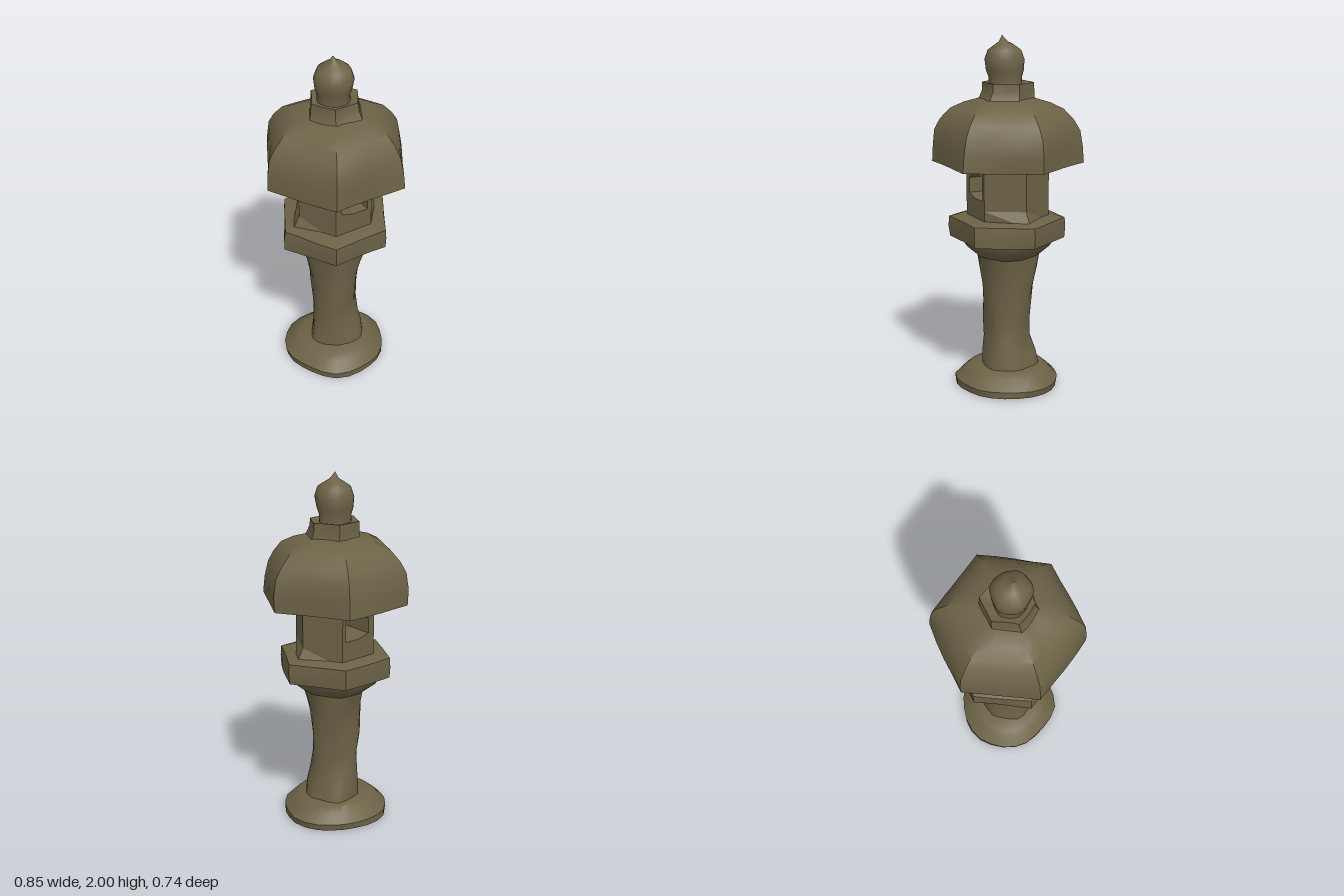
import * as THREE from 'three';
import { toCreasedNormals } from 'three/addons/utils/BufferGeometryUtils.js';

const SIDES = 24;
const stone = new THREE.MeshStandardMaterial({ color: 0x6c6246 });
stone.name = 'weathered stone';

// Smooth wobble that makes the stone look worn
const wear = (a, y, seed) =>
  0.5 * Math.sin(3 * a + 9 * y + seed) + 0.3 * Math.sin(5 * a - 14 * y + 2 * seed) + 0.2 * Math.sin(2 * a + 23 * y);

// Loft through rings [y, radius, hexagon amount 0..1, x offset, z offset], bottom to top
function loft(name, rings, { rough = 0.008, seed = 1, crease = 0.75 } = {}) {
  const pos = [], index = [];
  rings.forEach(([y, r, hex = 1, cx = 0, cz = 0]) => {
    for (let j = 0; j < SIDES; j++) {
      const a = (j / SIDES) * Math.PI * 2;
      const f = Math.cos(Math.PI / 6) / Math.cos((a % (Math.PI / 3)) - Math.PI / 6);
      const rad = r * (1 - hex + hex * f) + (r > 0.05 ? rough * wear(a, y, seed) : 0);
      pos.push(cx + rad * Math.cos(a), y, cz + rad * Math.sin(a));
    }
  });
  for (let i = 0; i < rings.length - 1; i++) {
    for (let j = 0; j < SIDES; j++) {
      const k = (j + 1) % SIDES;
      const a = i * SIDES + j, b = i * SIDES + k, c = a + SIDES, d = b + SIDES;
      if (rings[i][1] > 0) index.push(a, c, b);
      if (rings[i + 1][1] > 0) index.push(b, c, d);
    }
  }
  const geo = new THREE.BufferGeometry();
  geo.setAttribute('position', new THREE.Float32BufferAttribute(pos, 3));
  geo.setIndex(index);
  return part(name, toCreasedNormals(geo, crease));
}

function part(name, geo) {
  const mesh = new THREE.Mesh(geo, stone);
  mesh.name = name;
  return mesh;
}

// Hexagonal lamp chamber with one opening running from front to back
function chamber() {
  const group = new THREE.Group();
  group.name = 'lampChamber';
  const wall = new THREE.Shape([[-0.115, 0.97], [0.115, 0.97], [0.115, 1.32], [-0.115, 1.32]]
    .map(p => new THREE.Vector2(...p)));
  wall.holes.push(new THREE.Path([[-0.075, 1.13], [-0.075, 1.215], [-0.01, 1.25], [0.09, 1.245], [0.09, 1.11], [0, 1.11]]
    .map(p => new THREE.Vector2(...p))));
  const middle = new THREE.ExtrudeGeometry(wall, { depth: 0.4, bevelEnabled: false });
  middle.translate(0, 0, -0.2);
  group.add(part('windowWall', middle));

  // Pointed side walls, spreading a little at the foot
  for (const s of [1, -1]) {
    const plan = new THREE.Shape([new THREE.Vector2(0.115, -0.2), new THREE.Vector2(0.23, 0), new THREE.Vector2(0.115, 0.2)]);
    const geo = new THREE.ExtrudeGeometry(plan, { depth: 0.35, steps: 4, bevelEnabled: false });
    geo.rotateX(-Math.PI / 2).translate(0, 0.97, 0);
    if (s < 0) geo.rotateY(Math.PI);
    const p = geo.attributes.position;
    for (let i = 0; i < p.count; i++) {
      const x = p.getX(i);
      if (Math.abs(x) > 0.2 && p.getY(i) < 1.03) p.setX(i, x + s * 0.05);
    }
    geo.computeVertexNormals();
    group.add(part(s > 0 ? 'leftChamberWall' : 'rightChamberWall', geo));
  }
  return group;
}

export function createModel() {
  const lantern = new THREE.Group();
  lantern.name = 'stoneLantern';

  lantern.add(loft('base', [
    [0, 0, 0], [0.003, 0.295, 0.1], [0.04, 0.3, 0.15], [0.09, 0.25, 0.2],
    [0.12, 0.215, 0.3], [0.125, 0.12, 0.3],
  ], { rough: 0.015, seed: 2 }));

  lantern.add(loft('post', [
    [0.1, 0.165, 0.4, 0.015], [0.2, 0.152, 0.4, 0.01], [0.28, 0.135, 0.3], [0.38, 0.133, 0.3],
    [0.5, 0.138, 0.3], [0.6, 0.145, 0.3], [0.7, 0.162, 0.3], [0.79, 0.18, 0.3],
  ], { rough: 0.014, seed: 4, crease: 1.2 }));

  lantern.add(loft('platform', [
    [0.76, 0.13, 0.3], [0.77, 0.175, 0.3], [0.82, 0.24, 0.4], [0.86, 0.265, 0.6],
    [0.87, 0.325], [0.93, 0.33], [0.985, 0.325], [1.0, 0.27], [1.0, 0],
  ], { seed: 5 }));

  lantern.add(chamber());

  lantern.add(loft('roof', [
    [1.3, 0], [1.3, 0.423], [1.39, 0.42], [1.48, 0.405], [1.54, 0.37],
    [1.6, 0.315], [1.635, 0.24], [1.66, 0.15], [1.665, 0],
  ], { rough: 0.01, seed: 7, crease: 0.6 }));

  lantern.add(loft('finialCollar', [
    [1.61, 0.185, 1, 0, 0.015], [1.66, 0.155, 1, 0, 0.008], [1.7, 0.145], [1.745, 0.142],
    [1.74, 0.11], [1.71, 0],
  ], { rough: 0.006, seed: 3, crease: 0.6 }));

  // Onion-shaped finial, slightly off centre, with a bent tip
  lantern.add(loft('finial', [
    [1.7, 0.095, 0.2, -0.01, 0.01], [1.77, 0.09, 0.2, -0.01, 0.01], [1.81, 0.103, 0.2, -0.012, 0.012],
    [1.87, 0.11, 0.2, -0.012, 0.014], [1.92, 0.092, 0.2, -0.012, 0.014], [1.95, 0.05, 0, -0.012, 0.014],
    [1.965, 0.024, 0, -0.015, 0.018], [2, 0, 0, -0.024, 0.022],
  ], { rough: 0.005, seed: 6, crease: 1.2 }));

  return lantern;
}
